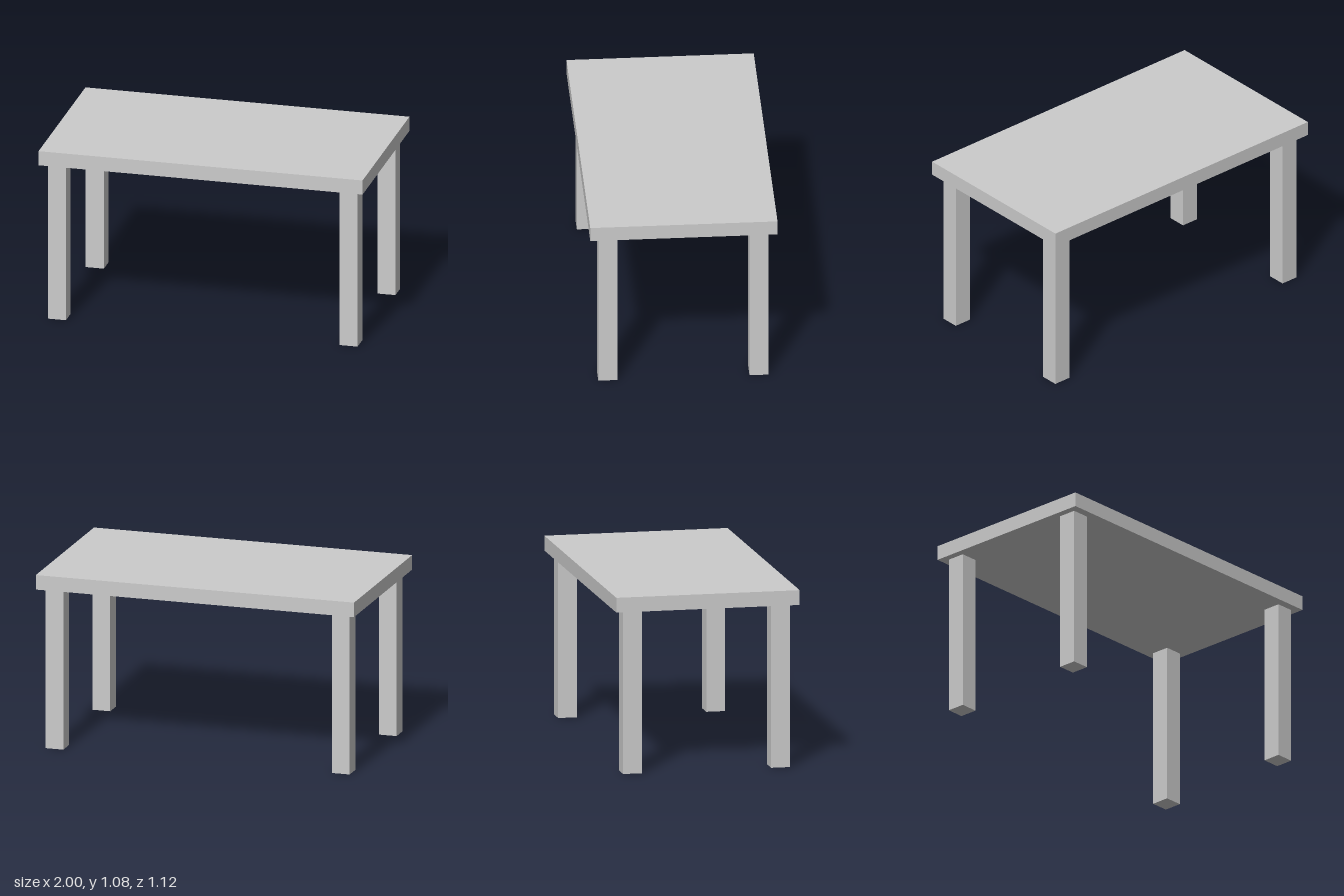
import * as THREE from 'three';

const material = new THREE.MeshStandardMaterial({ color: 0xcccccc });

// Box standing on height y
function addBox(group, name, [w, h, d], [x, y, z]) {
  const mesh = new THREE.Mesh(new THREE.BoxGeometry(w, h, d), material);
  mesh.name = name;
  mesh.position.set(x, y + h / 2, z);
  group.add(mesh);
}

export function createModel() {
  const table = new THREE.Group();
  table.name = 'table';

  const legHeight = 0.993;

  // Flat slab top
  addBox(table, 'tableTop', [2, 0.09, 1.122], [0, legHeight, 0]);

  // Four square legs, set in slightly from the edges
  for (const [side, x] of [['Left', 0.9], ['Right', -0.9]]) {
    for (const [end, z] of [['front', 0.453], ['back', -0.453]]) {
      addBox(table, `${end}${side}Leg`, [0.112, legHeight, 0.114], [x, 0, z]);
    }
  }

  return table;
}
